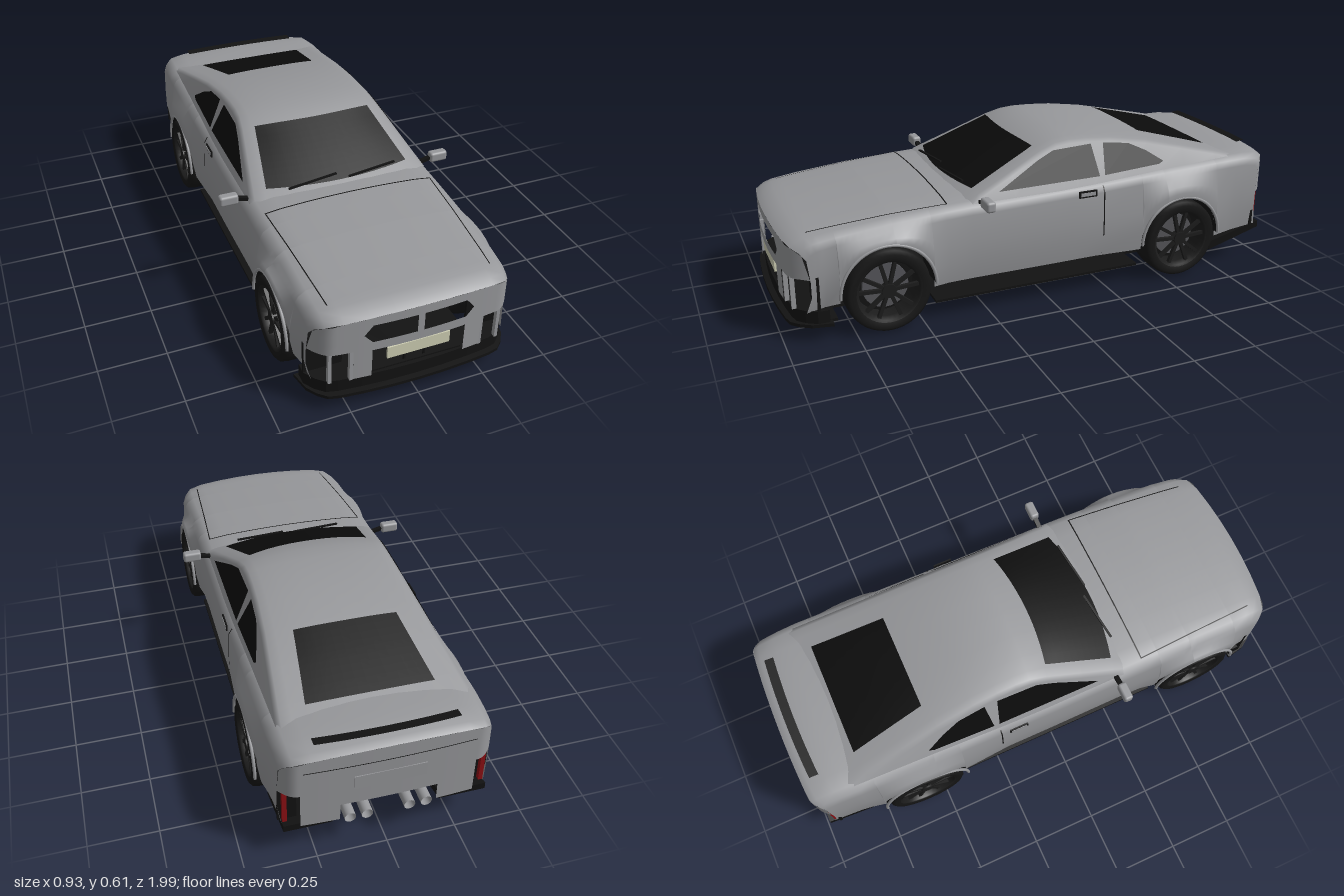
import * as THREE from 'three';
import { RoundedBoxGeometry } from 'three/addons/geometries/RoundedBoxGeometry.js';

const mat = (name, color) => new THREE.MeshStandardMaterial({ name, color, side: THREE.DoubleSide });
const paint = mat('silver paint', 0x96979a), black = mat('black trim', 0x121212), glass = mat('dark glass', 0x0b0b0b);
const tyreMat = mat('tyre rubber', 0x161616), rimMat = mat('black rim', 0x1c1c1c), metal = mat('brake metal', 0x55565a);
const cream = mat('plate cream', 0xcfcfb4), red = mat('tail light red', 0x8c1014);

const WHEELS = [0.63, -0.57], WHEEL_Y = 0.158, ARCH = 0.172;

// piecewise linear table lookup, keys ascending
function table(rows, k) {
  if (k <= rows[0][0]) return rows[0][1];
  for (let i = 1; i < rows.length; i++) {
    const [a, va] = rows[i - 1], [b, vb] = rows[i];
    if (k <= b) return va + (vb - va) * (k - a) / (b - a);
  }
  return rows[rows.length - 1][1];
}

// surface through a grid of points, facing du x dv
function grid(nu, nv, fn) {
  const pos = [], idx = [];
  for (let i = 0; i <= nu; i++) for (let j = 0; j <= nv; j++) pos.push(...fn(i, j));
  for (let i = 0; i < nu; i++) for (let j = 0; j < nv; j++) {
    const a = i * (nv + 1) + j, b = a + nv + 1;
    idx.push(a, b, b + 1, a, b + 1, a + 1);
  }
  const g = new THREE.BufferGeometry();
  g.setAttribute('position', new THREE.Float32BufferAttribute(pos, 3));
  g.setIndex(idx);
  g.computeVertexNormals();
  return g;
}

// plan curves of the nose and the tail
const noseZ = x => 0.985 - 0.22 * x * x - 11 * Math.max(0, Math.abs(x) - 0.3) ** 2;
const tailZ = x => -0.995 + 0.1 * x * x + 11 * Math.max(0, Math.abs(x) - 0.31) ** 2;

// body profile along the length
const TOP = [[-0.995, 0.455], [-0.97, 0.47], [-0.9, 0.477], [-0.8, 0.477], [-0.5, 0.467], [-0.2, 0.455], [0.2, 0.445],
  [0.3, 0.446], [0.4, 0.442], [0.6, 0.43], [0.8, 0.41], [0.92, 0.397], [0.96, 0.386], [0.985, 0.37]];
const WIDTH = [[-0.995, 0.372], [-0.8, 0.379], [0, 0.382], [0.8, 0.378], [0.985, 0.372]];
const SILL = [[-0.995, 0.15], [-0.75, 0.135], [0.8, 0.135], [0.985, 0.11]];

function sillY(s) {
  let y = table(SILL, s);
  for (const c of WHEELS) {
    const d = Math.abs(s - c);
    if (d < ARCH - 1e-6) y = Math.max(y, WHEEL_Y + Math.sqrt(ARCH * ARCH - d * d));
  }
  return y;
}

// half section [x, y] from the sill to the centre line
function bodySection(s) {
  const yb = sillY(s), yt = table(TOP, s), w = table(WIDTH, s), sh = yt - 0.06;
  const flare = WHEELS.reduce((f, c) => f + 0.028 * Math.exp(-(((s - c) / 0.19) ** 4)), 0);
  const tuck = 0.012 * Math.min(1, Math.max(0, (0.33 - yb) / 0.19));
  const side = f => yb + (sh - yb) * f;
  const pts = [[w + flare - tuck, yb], [w + flare, side(0.3)], [w + flare * 0.7, side(0.6)],
    [w - 0.005, sh], [w - 0.018, yt - 0.036], [w - 0.045, yt - 0.018]];
  for (const x of [0.27, 0.18, 0.09, 0]) pts.push([x, yt - 0.015 * (x / 0.34) ** 2]);
  return pts;
}
const full = half => [...half.map(([x, y]) => [-x, y]), ...half.slice(0, -1).reverse()];

function bodyZ(x, s) {
  if (s > 0.82) return 0.82 + (s - 0.82) / 0.165 * (noseZ(x) - 0.82);
  if (s < -0.8) return -0.8 + (s + 0.8) / -0.195 * (tailZ(x) + 0.8);
  return s;
}

function bodyShell() {
  const st = [...TOP.map(r => r[0]), -0.85, -0.1, 0, 0.1, 0.88];
  for (const c of WHEELS) {
    for (let k = 0; k <= 16; k++) st.push(c + ARCH * Math.cos(k * Math.PI / 16));
    st.push(c + ARCH - 0.001, c - ARCH + 0.001);
  }
  st.sort((a, b) => a - b);
  const secs = st.map(s => full(bodySection(s)));
  return grid(st.length - 1, secs[0].length - 1, (i, j) => [...secs[i][j], bodyZ(secs[i][j][0], st[i])]);
}

// nose or tail skin from spans [x0, low0, high0, x1, low1, high1]; high 0 means up to the body edge
function endSkin(group, name, s, zAt, spans) {
  const edge = bodySection(s).slice(2).reverse();
  for (const [x0, l0, h0, x1, l1, h1] of spans) for (const side of [-1, 1]) {
    const n = 10, flip = side * Math.sign(s) < 0;
    group.add(named(name, grid(n, 3, (i, j) => {
      const u = (flip ? n - i : i) / n, x = x0 + (x1 - x0) * u, lo = l0 + (l1 - l0) * u;
      const hi = h0 ? h0 + (h1 - h0) * u : table(edge, x);
      return [side * x, lo + (hi - lo) * j / 3, zAt(x)];
    }), paint));
  }
}

// cabin: roof line, sloping side plane and section
const ROOF = [[-0.84, 0.46], [-0.75, 0.486], [-0.6, 0.528], [-0.45, 0.569], [-0.3, 0.597], [-0.2, 0.606], [-0.12, 0.608],
  [-0.05, 0.602], [0.03, 0.58], [0.18, 0.512], [0.32, 0.448], [0.36, 0.43]];
const sideX = y => 0.352 - 0.072 * (y - 0.43) / 0.155;
function roofPoint(u, s, lift = 0) {
  const y = table(ROOF, s), h = Math.max(0, (y - 0.44) / 0.165), x = u * sideX(y - 0.022 * h);
  const bend = 0.5 * Math.min(1, Math.max(0, (s + 0.15) / 0.2));
  return [x, y - 0.022 * h * Math.abs(u) ** 3 + lift, s - bend * x * x + (s > 0 ? lift : -lift) * 0.5];
}
function cabinShell() {
  const st = ROOF.map(r => r[0]), us = [0.96, 0.85, 0.65, 0.35, 0];
  const secs = st.map(s => {
    const rail = roofPoint(1, s), yw = Math.max(0.422, rail[1] - 0.01);
    const half = [[sideX(0.42), 0.42, rail[2]], [sideX(yw), yw, rail[2]], ...us.map(u => roofPoint(u, s))];
    return [...half.map(([x, y, z]) => [-x, y, z]), ...half.slice(0, -1).reverse()];
  });
  return grid(st.length - 1, secs[0].length - 1, (i, j) => secs[i][j]);
}
const screen = (z0, z1, k0, k1) => grid(10, 12, (i, j) =>
  roofPoint((j / 6 - 1) * (k0 + (k1 - k0) * i / 10), z0 + (z1 - z0) * i / 10, 0.004));

function named(name, geo, material, x = 0, y = 0, z = 0) {
  const m = new THREE.Mesh(geo, material);
  m.name = name;
  m.position.set(x, y, z);
  return m;
}
const box = (w, h, d) => new THREE.BoxGeometry(w, h, d);

// flat slab from a mirrored half plan of [x, z]
function slab(half, y, h) {
  const pts = [...half, ...half.map(([x, z]) => [-x, z]).reverse()].map(([x, z]) => new THREE.Vector2(x, -z));
  return new THREE.ExtrudeGeometry(new THREE.Shape(pts), { depth: h, bevelEnabled: false }).rotateX(-Math.PI / 2).translate(0, y, 0);
}

function makeWheel() {
  const w = new THREE.Group();
  const ring = (pts) => new THREE.LatheGeometry(pts.map(p => new THREE.Vector2(...p)), 40).rotateZ(-Math.PI / 2);
  const disc = (r, t) => new THREE.CylinderGeometry(r, r, t, 32).rotateZ(Math.PI / 2);
  w.add(named('tyre', ring([[0.118, -0.058], [0.142, -0.064], [0.154, -0.054], [0.158, -0.03], [0.158, 0.03], [0.154, 0.054], [0.142, 0.064], [0.118, 0.058]]), tyreMat));
  w.add(named('rim', ring([[0.118, -0.058], [0.108, -0.03], [0.106, 0.03], [0.112, 0.057], [0.12, 0.06]]), rimMat));
  w.add(named('rimBack', disc(0.107, 0.01), black, -0.03), named('brakeDisc', disc(0.085, 0.012), metal, -0.005));
  w.add(named('hub', disc(0.026, 0.03), rimMat, 0.04));
  for (let k = 0; k < 10; k++) {
    const spoke = named('spoke', box(0.014, 0.092, 0.013).translate(0, 0.064, 0), rimMat, 0.042);
    spoke.rotation.x = (Math.floor(k / 2) + (k % 2 ? 0.2 : -0.2)) * Math.PI * 2 / 5;
    w.add(spoke);
  }
  return w;
}

export function createModel() {
  const car = new THREE.Group();
  car.name = 'coupe';
  car.add(named('body', bodyShell(), paint), named('cabin', cabinShell(), paint));

  // nose with two grille openings and side intakes, tail with light recesses
  endSkin(car, 'noseSkin', 0.985, noseZ, [[0, 0.23, 0, 0.012, 0.23, 0], [0.012, 0.23, 0.265, 0.17, 0.23, 0.265],
    [0.012, 0.335, 0, 0.17, 0.335, 0], [0.17, 0.12, 0.265, 0.2, 0.12, 0.298], [0.17, 0.335, 0, 0.2, 0.298, 0],
    [0.2, 0.12, 0, 0.235, 0.12, 0], [0.235, 0.238, 0, 0.372, 0.238, 0]]);
  endSkin(car, 'tailSkin', -0.995, tailZ, [[0, 0.225, 0, 0.17, 0.225, 0], [0.17, 0.155, 0, 0.305, 0.155, 0], [0.305, 0.297, 0, 0.372, 0.297, 0]]);

  // glass
  car.add(named('windshield', screen(0.035, 0.312, 0.81, 0.83), glass), named('rearWindow', screen(-0.765, -0.47, 0.69, 0.64), glass));
  const panes = [[[0.19, 0.449], [0.02, 0.534], [-0.05, 0.562], [-0.21, 0.568], [-0.226, 0.452]],
    [[-0.248, 0.453], [-0.262, 0.567], [-0.37, 0.553], [-0.44, 0.52], [-0.51, 0.474], [-0.49, 0.465]]];
  for (const pane of panes) for (const side of [-1, 1]) {
    const g = new THREE.ShapeGeometry(new THREE.Shape(pane.map(p => new THREE.Vector2(...p))));
    const p = g.attributes.position;
    for (let i = 0; i < p.count; i++) p.setXYZ(i, side * (sideX(p.getY(i)) + 0.004), p.getY(i), p.getX(i));
    g.computeVertexNormals();
    car.add(named('sideWindow', g, glass));
  }

  // underbody, front splitter and valance
  car.add(named('floor', slab([[0, 0.86], [0.36, 0.86], [0.36, 0.81], [0.26, 0.81], [0.26, 0.45], [0.37, 0.45], [0.37, -0.39],
    [0.26, -0.39], [0.26, -0.76], [0, -0.76]], 0.062, 0.01), black));
  const xs = [0, 0.1, 0.2, 0.28, 0.32, 0.35, 0.375];
  car.add(named('splitter', slab([...xs.map(x => [x, noseZ(x) + 0.012]), [0.39, 0.83], [0, 0.83]], 0.057, 0.012), black));
  car.add(named('valance', slab([...xs.map(x => [x, noseZ(x) - 0.01]), [0.375, 0.84], [0, 0.84]], 0.068, 0.048), black));

  // front plate, grille slats and lower opening bars
  car.add(named('frontPlate', box(0.23, 0.046, 0.008), cream, 0, 0.198, 0.975), named('lowerBar', box(0.34, 0.006, 0.01), black, 0, 0.124, 0.96));
  car.add(named('spoiler', grid(1, 12, (i, j) => { const x = (j - 6) / 24; return [x, 0.482 - 0.004 * i, -0.925 - 0.035 * (1 - i) + 0.15 * x * x]; }), black));
  car.add(named('rearPlatePanel', box(0.25, 0.055, 0.006), paint, 0, 0.32, -0.994));

  // hood and boot seams
  const seam = (x0, z0, x1, z1) => grid(20, 1, (i, j) => {
    const z = z0 + (z1 - z0) * i / 20 + (x0 + x1 === 0 ? j * 0.005 : 0), x = x0 + (x1 - x0) * i / 20 + (x0 + x1 === 0 ? 0 : j * 0.004);
    return [x, table(bodySection(z).slice(2).reverse(), Math.abs(x)) + 0.002, bodyZ(x, z)];
  });
  car.add(named('hoodSeam', seam(-0.33, 0.385, 0.33, 0.385), black));
  car.add(named('bootSeam', grid(1, 16, (i, j) => { const x = (j - 8) * 0.037; return [x, 0.397 + i * 0.003, tailZ(x) - 0.002]; }), black));

  const wheelProto = makeWheel();
  for (const s of [-1, 1]) {
    car.add(named('hoodSideSeam', seam(s * 0.33, 0.385, s * 0.298, 0.9), black));
    car.add(named('grilleSlat', box(0.105, 0.01, 0.008), black, s * 0.072, 0.33, 0.965));
    car.add(named('grilleStrut', box(0.006, 0.06, 0.008), black, s * 0.037, 0.148, 0.95));
    // front intakes
    car.add(named('intakeBack', box(0.14, 0.14, 0.01), black, s * 0.305, 0.175, 0.875));
    for (const x of [0.312, 0.24]) car.add(named('intakeFin', box(0.012, 0.13, 0.016), paint, s * x, 0.18, noseZ(x) - 0.01));
    // tail lights, diffuser sides and exhausts
    car.add(named('tailLightBack', box(0.066, 0.15, 0.01), black, s * 0.338, 0.224, -0.93));
    car.add(named('tailLight', box(0.016, 0.14, 0.016), red, s * 0.35, 0.224, -0.945));
    const wedge = new THREE.Shape([[0.74, 0.065], [0.975, 0.13], [0.975, 0.157], [0.74, 0.1]].map(p => new THREE.Vector2(...p)));
    const diff = new THREE.ExtrudeGeometry(wedge, { depth: 0.17, bevelEnabled: false }).rotateY(Math.PI / 2);
    car.add(named('diffuser', diff, black, s > 0 ? 0.19 : -0.36));
    for (const x of [0.075, 0.135]) {
      car.add(named('exhaust', new THREE.CylinderGeometry(0.02, 0.02, 0.13, 20, 1, true).rotateX(Math.PI / 2), paint, s * x, 0.155, -0.93));
      car.add(named('exhaustCore', new THREE.CircleGeometry(0.019, 20), black, s * x, 0.155, -0.95));
    }
    // mirrors, door details and wipers
    car.add(named('mirror', new RoundedBoxGeometry(0.072, 0.04, 0.036, 3, 0.01), paint, s * 0.428, 0.438, 0.265));
    const arm = named('mirrorArm', box(0.05, 0.012, 0.018), black, s * 0.378, 0.431, 0.265);
    arm.rotation.z = s * 0.25;
    car.add(arm);
    car.add(named('doorSeam', grid(14, 1, (i, j) => {
      const y = 0.14 + 0.3 * i / 14;
      return [s * (table(bodySection(-0.23).map(([x, h]) => [h, x]), y) + 0.002), y, -0.228 - 0.005 * j];
    }), black));
    car.add(named('doorHandleRecess', box(0.006, 0.026, 0.075), black, s * 0.378, 0.4, -0.16));
    car.add(named('doorHandle', box(0.008, 0.014, 0.062), paint, s * 0.379, 0.4, -0.16));
    const wiper = named('wiper', box(0.2, 0.006, 0.008), black, s * 0.12 + 0.01, 0.464, 0.3);
    wiper.rotation.set(0, 0.12, 0.04);
    car.add(wiper);
    // wheels, liners and arch lips
    for (const z of WHEELS) {
      const wheel = wheelProto.clone();
      wheel.name = 'wheel';
      wheel.position.set(s * 0.345, WHEEL_Y, z);
      if (s < 0) wheel.rotation.y = Math.PI;
      const liner = new THREE.CylinderGeometry(ARCH, ARCH, 0.13, 28, 1, true, 0, Math.PI).rotateZ(Math.PI / 2);
      car.add(wheel, named('archLiner', liner, black, s * 0.335, WHEEL_Y, z));
      car.add(named('archLip', new THREE.TorusGeometry(ARCH + 0.003, 0.006, 8, 32, Math.PI).rotateY(Math.PI / 2), paint, s * 0.403, WHEEL_Y, z));
    }
  }
  return car;
}
